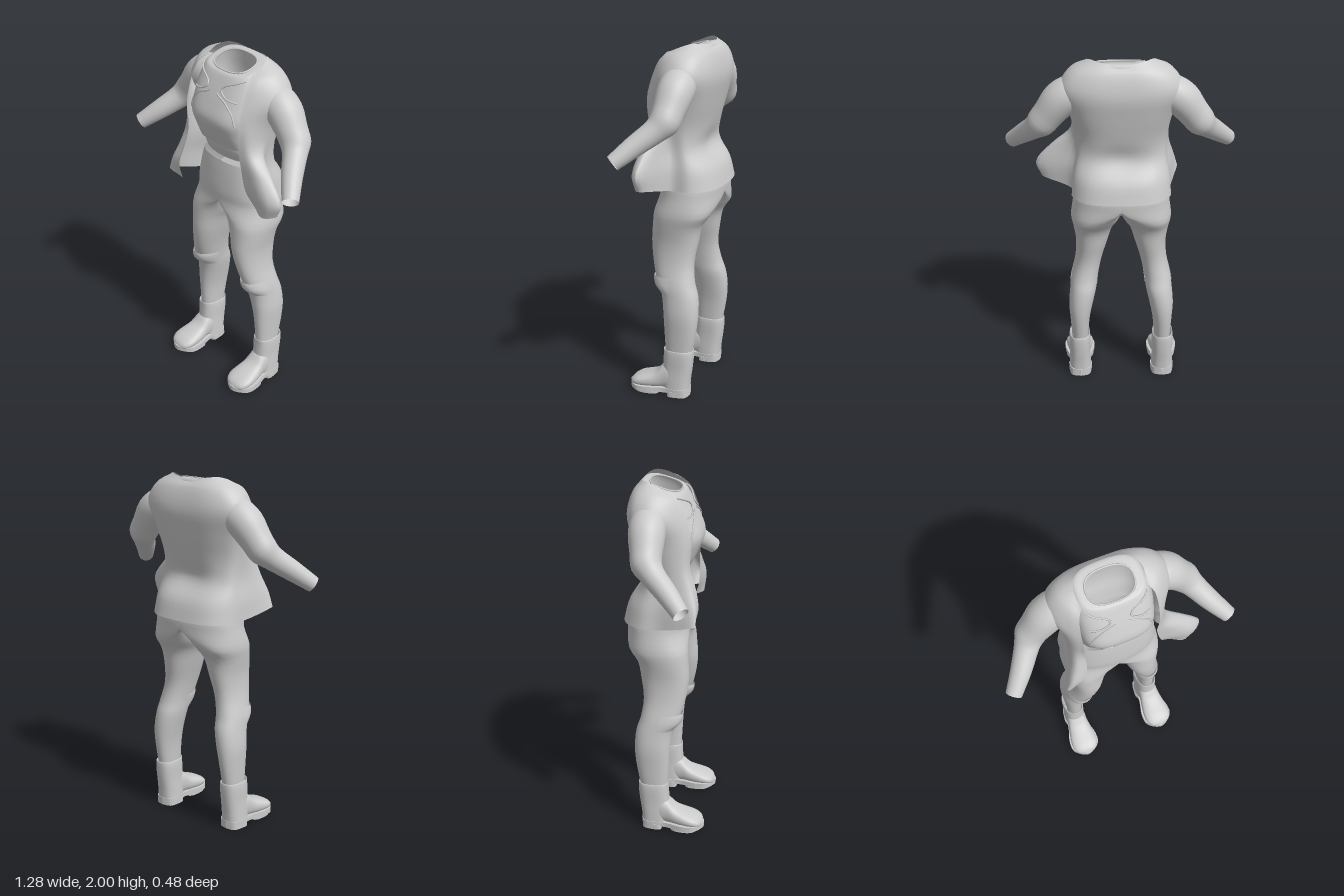
import * as THREE from 'three';

const V = (x, y, z) => new THREE.Vector3(x, y, z);
const material = new THREE.MeshStandardMaterial({ color: 0xcccccc, side: THREE.DoubleSide });

function addMesh(parent, name, geometry) {
  const mesh = new THREE.Mesh(geometry, material);
  mesh.name = name;
  parent.add(mesh);
  return mesh;
}

// Smooth surface through rows of points, each row open or a closed loop
function loft(rows, closed = true, nu = 40, steps = 3) {
  const across = rows.map((r) => new THREE.CatmullRomCurve3(r, closed));
  const nv = (rows.length - 1) * steps, cols = closed ? nu : nu + 1;
  const pos = [], index = [];
  for (let i = 0; i < cols; i++) {
    const down = new THREE.CatmullRomCurve3(across.map((c) => c.getPoint(i / nu)));
    for (let j = 0; j <= nv; j++) pos.push(...down.getPoint(j / nv).toArray());
  }
  for (let i = 0; i < nu; i++) {
    for (let j = 0; j < nv; j++) {
      const a = i * (nv + 1) + j, b = ((i + 1) % cols) * (nv + 1) + j;
      index.push(a, a + 1, b, b, a + 1, b + 1);
    }
  }
  const g = new THREE.BufferGeometry();
  g.setAttribute('position', new THREE.Float32BufferAttribute(pos, 3));
  g.setIndex(index);
  g.computeVertexNormals();
  return g;
}

// Superellipse outline in two axes
function outline(rx, ry, n = 2, count = 20) {
  const f = (v) => Math.sign(v) * Math.abs(v) ** (2 / n);
  return Array.from({ length: count }, (_, i) => {
    const t = (i / count) * Math.PI * 2;
    return [rx * f(Math.sin(t)), ry * f(Math.cos(t))];
  });
}

// Horizontal ring from x and z limits; lean lowers the front and lifts the back
function ring(y, x0, x1, zf, zb, n = 2.2, lean = 0) {
  const rz = (zf - zb) / 2;
  return outline((x1 - x0) / 2, rz, n).map(([x, z]) => V((x0 + x1) / 2 + x, y - (lean * z) / rz, (zf + zb) / 2 + z));
}

// y, half width, front z, back z, lean
const SHIRT = [
  [1.955, 0.125, 0.068, -0.10, 0.025], [1.95, 0.175, 0.085, -0.145, 0.03],
  [1.88, 0.2, 0.115, -0.165, 0.01], [1.78, 0.205, 0.16, -0.175, 0],
  [1.69, 0.2, 0.19, -0.165, 0], [1.61, 0.19, 0.165, -0.14, 0], [1.525, 0.19, 0.125, -0.12, 0],
];
const CHEST_N = 3;

function chestZ(x, y) {
  let k = 0;
  while (k < SHIRT.length - 2 && y < SHIRT[k + 1][0]) k++;
  const a = SHIRT[k], b = SHIRT[k + 1], t = THREE.MathUtils.clamp((a[0] - y) / (a[0] - b[0]), 0, 1);
  const [rx, zf, zb] = [1, 2, 3].map((i) => a[i] + (b[i] - a[i]) * t);
  return 0.004 + (zf + zb) / 2 + ((zf - zb) / 2) * Math.max(0, 1 - Math.abs(x / rx) ** CHEST_N) ** (1 / CHEST_N);
}

function buildShirt(root) {
  const g = new THREE.Group();
  g.name = 'shirt';
  root.add(g);
  addMesh(g, 'shirtBody', loft(SHIRT.map(([y, w, f, b, l]) => ring(y, -w, w, f, b, CHEST_N, l)), true, 60, 5));
  addMesh(g, 'midriff', loft([ring(1.54, -0.185, 0.185, 0.118, -0.115), ring(1.5, -0.187, 0.187, 0.112, -0.11),
    ring(1.45, -0.19, 0.19, 0.085, -0.105, 2.2, 0.012)]));
  const neck = new THREE.CatmullRomCurve3(ring(1.957, -0.125, 0.125, 0.068, -0.1, 2.5, 0.025), true);
  addMesh(g, 'necklineTrim', new THREE.TubeGeometry(neck, 48, 0.005, 6, true));
  // Harness seams lying on the chest
  const seams = [
    [[0.03, 1.83], [0.1, 1.8], [0.145, 1.755], [0.17, 1.69]],
    [[0.165, 1.92], [0.12, 1.9], [0.065, 1.875], [0.053, 1.853], [0.09, 1.825], [0.16, 1.81]],
  ];
  for (const s of [-1, 1]) {
    for (const seam of seams) {
      const flat = new THREE.CatmullRomCurve3(seam.map(([x, y]) => V(s * x, y, 0))).getPoints(16);
      const path = new THREE.CatmullRomCurve3(flat.map((p) => V(p.x, p.y, chestZ(p.x, p.y))));
      addMesh(g, 'chestSeam', new THREE.TubeGeometry(path, 32, 0.005, 6));
    }
  }
}

function buildJacket(root) {
  const g = new THREE.Group();
  g.name = 'jacket';
  root.add(g);
  // Per level: front edge, two front side points, side, two back side points, back centre
  const upper = [
    [[0.17, 1.95, 0.045], [0.178, 1.965, 0.0], [0.178, 1.982, -0.04], [0.155, 1.996, -0.09], [0.13, 1.995, -0.115],
      [0.08, 1.988, -0.135], [0, 1.978, -0.14]],
    [[0.195, 1.91, 0.08], [0.228, 1.93, 0.04], [0.262, 1.938, -0.02], [0.275, 1.933, -0.075], [0.245, 1.93, -0.135],
      [0.155, 1.935, -0.172], [0, 1.94, -0.178]],
    [[0.205, 1.83, 0.115], [0.25, 1.83, 0.08], [0.305, 1.83, 0.02], [0.335, 1.82, -0.06], [0.295, 1.83, -0.145],
      [0.185, 1.83, -0.196], [0, 1.82, -0.208]],
    [[0.205, 1.7, 0.15], [0.24, 1.7, 0.115], [0.272, 1.7, 0.05], [0.28, 1.7, -0.03], [0.262, 1.7, -0.115],
      [0.175, 1.7, -0.173], [0, 1.7, -0.19]],
  ];
  const lowerBack = [
    [[0.255, 1.55, 0], [0.235, 1.55, -0.08], [0.15, 1.55, -0.14], [0, 1.55, -0.157]],
    [[0.25, 1.44, 0], [0.235, 1.44, -0.08], [0.15, 1.44, -0.13], [0, 1.44, -0.13]],
    [[0.268, 1.33, -0.01], [0.255, 1.33, -0.11], [0.17, 1.33, -0.188], [0, 1.33, -0.208]],
    [[0.274, 1.22, -0.01], [0.268, 1.22, -0.12], [0.185, 1.22, -0.212], [0, 1.22, -0.24]],
  ];
  // The left flap swings outwards, the right one hangs forwards
  const flaps = {
    1: [[[0.2, 1.54, 0.14], [0.255, 1.55, 0.12], [0.275, 1.55, 0.06]],
      [[0.215, 1.43, 0.135], [0.34, 1.45, 0.13], [0.38, 1.45, 0.08]],
      [[0.24, 1.33, 0.13], [0.41, 1.335, 0.148], [0.472, 1.335, 0.095]],
      [[0.28, 1.24, 0.1], [0.38, 1.235, 0.14], [0.44, 1.25, 0.09]]],
    '-1': [[[0.2, 1.55, 0.145], [0.245, 1.55, 0.125], [0.262, 1.55, 0.06]],
      [[0.205, 1.43, 0.18], [0.262, 1.45, 0.155], [0.268, 1.45, 0.07]],
      [[0.23, 1.33, 0.195], [0.295, 1.35, 0.185], [0.29, 1.34, 0.09]],
      [[0.245, 1.22, 0.16], [0.322, 1.265, 0.19], [0.3, 1.24, 0.09]]],
  };
  const half = (s) => [...upper, ...lowerBack.map((back, i) => [...flaps[s][i], ...back])]
    .map((row) => row.map(([x, y, z]) => V(s * x, y, z)));
  const left = half(1), right = half(-1);
  addMesh(g, 'jacketBody', loft(left.map((row, i) => [...row, ...right[i].slice(0, 6).reverse()]), false, 60, 4));

  // Sleeves: x, y, z, radius along the bent arm
  const arm = [[0.2, 1.85, -0.065, 0.06], [0.255, 1.815, -0.065, 0.092], [0.325, 1.763, -0.062, 0.097],
    [0.385, 1.685, -0.054, 0.085], [0.425, 1.632, -0.044, 0.081], [0.457, 1.593, -0.008, 0.066],
    [0.525, 1.52, 0.078, 0.056], [0.603, 1.442, 0.163, 0.044]];
  for (const s of [-1, 1]) {
    const pts = arm.map(([x, y, z]) => V(s * x, y, z));
    const rows = arm.map(([, , , r], i) => {
      const dir = pts[Math.min(i + 1, arm.length - 1)].clone().sub(pts[Math.max(i - 1, 0)]).normalize();
      const q = new THREE.Quaternion().setFromUnitVectors(V(0, -1, 0), dir);
      return outline(r, r).map(([x, z]) => V(x, 0, z).applyQuaternion(q).add(pts[i]));
    });
    addMesh(g, s > 0 ? 'leftSleeve' : 'rightSleeve', loft(rows));
  }
}

function buildTrousers(root) {
  const g = new THREE.Group();
  g.name = 'trousers';
  root.add(g);
  // Hips, one half at a time: y, half width, front z, back z
  const hips = [[1.415, 0.2, 0.1, -0.112], [1.37, 0.22, 0.107, -0.15], [1.3, 0.245, 0.115, -0.2],
    [1.23, 0.262, 0.12, -0.225], [1.17, 0.268, 0.118, -0.224]];
  // Legs: y, inner x, outer x, front z, back z
  const leg = [[1.075, 0.004, 0.28, 0.127, -0.2],
    [1, 0.045, 0.27, 0.132, -0.15], [0.9, 0.075, 0.256, 0.138, -0.13], [0.78, 0.11, 0.262, 0.122, -0.113],
    [0.67, 0.133, 0.286, 0.09, -0.128], [0.6, 0.143, 0.294, 0.06, -0.15], [0.5, 0.165, 0.303, 0.045, -0.158],
    [0.4, 0.184, 0.298, 0.038, -0.15], [0.26, 0.195, 0.29, 0.03, -0.125]];
  const pad = [[0.71, 0.128, 0.278, 0.111, -0.12], [0.69, 0.128, 0.283, 0.113, -0.12],
    [0.655, 0.133, 0.291, 0.102, -0.125], [0.615, 0.138, 0.296, 0.064, -0.14]];
  for (const s of [-1, 1]) {
    const rings = (rows) => rows.map(([y, a, b, f, k]) => ring(y, s * a, s * b, f, k));
    const halfHips = hips.map(([y, w, f, b]) => ring(y, -s * w, s * w, f, b, 2.4).map((p) => V(s * Math.max(0, s * p.x), p.y, p.z)));
    const geo = loft([...halfHips, ...rings(leg)]);
    // Level the normals on the centre seam so both halves shade as one
    const { position, normal } = geo.attributes;
    for (let i = 0; i < position.count; i++) {
      if (Math.abs(position.getX(i)) > 0.003 || position.getY(i) < 1.14) continue;
      const n = V(0, normal.getY(i), normal.getZ(i)).normalize();
      normal.setXYZ(i, n.x, n.y, n.z);
    }
    addMesh(g, s > 0 ? 'leftLeg' : 'rightLeg', geo);
    // Front part of each ring only
    const front = rings(pad).map((r) => [...r.slice(-5), ...r.slice(0, 6)]);
    addMesh(g, 'kneePad', loft(front, false, 20));
  }
  // Gusset filling the gap between the legs
  addMesh(g, 'crotchGusset', new THREE.SphereGeometry(1, 24, 16).scale(0.06, 0.075, 0.12).translate(0, 1.145, -0.025));
}

function buildBoot(s) {
  const g = new THREE.Group();
  g.name = s > 0 ? 'leftBoot' : 'rightBoot';
  const shaft = [[0.265, -0.05, 0.05, 0.025, -0.12], [0.285, -0.058, 0.058, 0.036, -0.133],
    [0.25, -0.062, 0.062, 0.037, -0.135], [0.17, -0.06, 0.06, 0.042, -0.128],
    [0.1, -0.062, 0.062, 0.045, -0.118], [0.03, -0.064, 0.064, 0.04, -0.112]];
  addMesh(g, 'bootShaft', loft(shaft.map((r) => ring(...r, 2.5))));
  // Foot cross-sections: z, half width, top y
  const foot = [[-0.06, 0.055, 0.15], [0, 0.06, 0.2], [0.04, 0.062, 0.178], [0.08, 0.07, 0.138],
    [0.14, 0.08, 0.112], [0.19, 0.078, 0.094], [0.225, 0.056, 0.073], [0.24, 0.008, 0.05]];
  addMesh(g, 'bootFoot', loft(foot.map(([z, w, top]) =>
    outline(w, (top - 0.03) / 2, 2.4).map(([x, y]) => V(x, (top + 0.03) / 2 + y, z)))));
  // Sole plate and heel block, drawn flat and extruded upwards
  const slab = (name, pts, y, depth) => {
    const shape = new THREE.Shape();
    shape.moveTo(pts[0][0], pts[0][1]);
    shape.splineThru(pts.slice(1).concat([pts[0]]).map((p) => new THREE.Vector2(...p)));
    const geo = new THREE.ExtrudeGeometry(shape, { depth, bevelEnabled: false, curveSegments: 32 });
    addMesh(g, name, geo.rotateX(-Math.PI / 2).translate(0, y, 0));
  };
  slab('sole', [[0, 0.117], [0.05, 0.1], [0.066, 0.05], [0.063, -0.03], [0.088, -0.13], [0.078, -0.2], [0, -0.245],
    [-0.078, -0.2], [-0.088, -0.13], [-0.063, -0.03], [-0.066, 0.05], [-0.05, 0.1]], 0.02, 0.028);
  slab('heel', [[0, 0.115], [0.05, 0.1], [0.066, 0.05], [0.062, 0.0], [0, -0.005],
    [-0.062, 0.0], [-0.066, 0.05], [-0.05, 0.1]], 0, 0.03);
  slab('soleTread', [[0, -0.06], [0.066, -0.065], [0.084, -0.13], [0.07, -0.19], [0, -0.225],
    [-0.07, -0.19], [-0.084, -0.13], [-0.066, -0.065]], 0.008, 0.015);
  g.position.x = s * 0.247;
  g.rotation.y = s * 0.03;
  return g;
}

export function createModel() {
  const root = new THREE.Group();
  root.name = 'outfit';
  buildShirt(root);
  buildJacket(root);
  buildTrousers(root);
  for (const s of [-1, 1]) root.add(buildBoot(s));
  return root;
}
